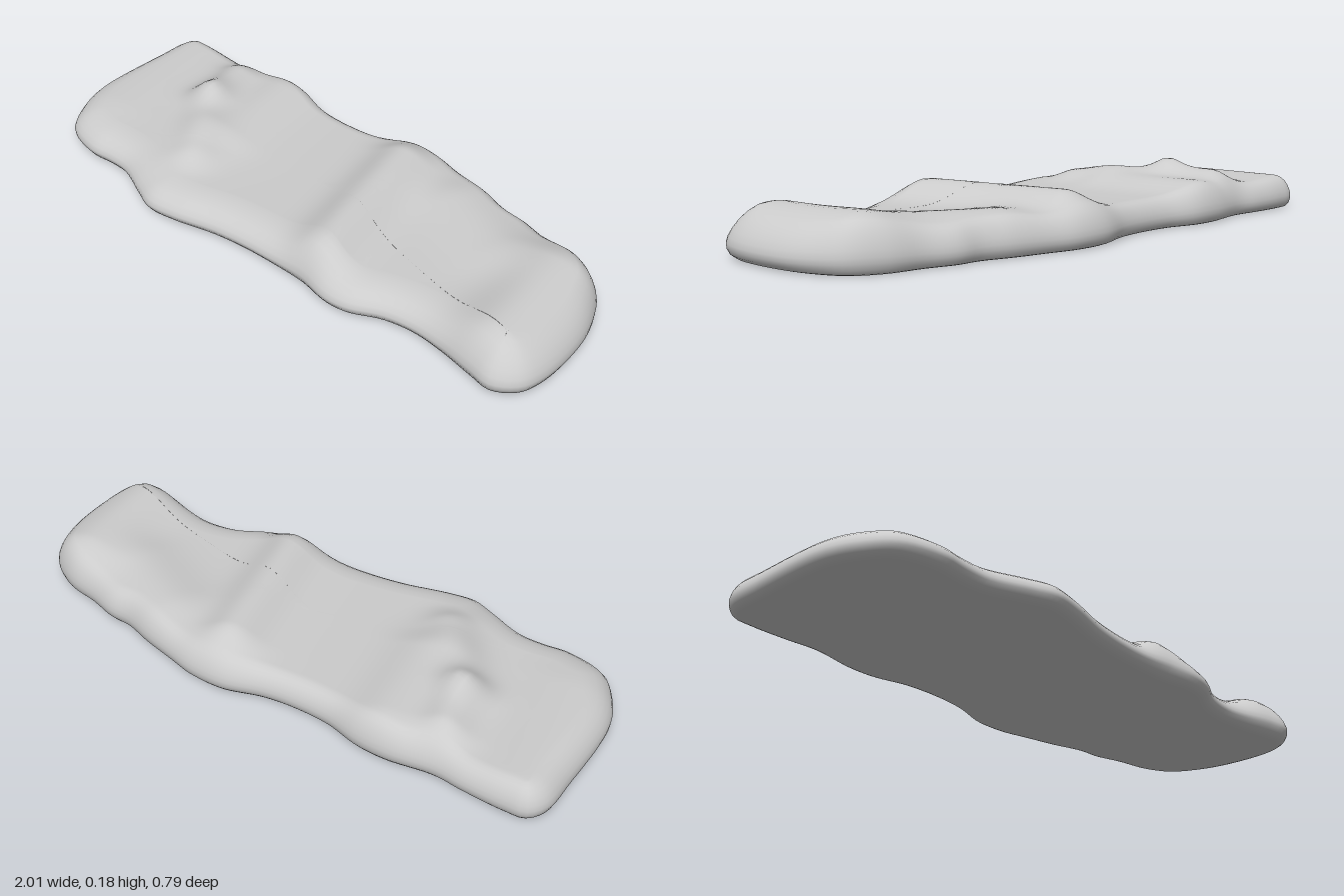
import * as THREE from 'three';
import { mergeVertices } from 'three/addons/utils/BufferGeometryUtils.js';

// Plan outline [x, z], along the back, round the left end, then back along the front
const OUTLINE = [
  [-0.99, -0.33], [-0.95, -0.38], [-0.88, -0.387], [-0.75, -0.38], [-0.65, -0.37], [-0.5, -0.39],
  [-0.4, -0.385], [-0.28, -0.352], [-0.15, -0.345], [-0.05, -0.355], [0.08, -0.392], [0.2, -0.39],
  [0.3, -0.365], [0.42, -0.335], [0.52, -0.302], [0.6, -0.295], [0.7, -0.265], [0.82, -0.24],
  [0.92, -0.18], [0.97, -0.09], [0.997, 0.02], [0.997, 0.2], [0.97, 0.28], [0.9, 0.33],
  [0.82, 0.32], [0.7, 0.295], [0.6, 0.285], [0.5, 0.3], [0.4, 0.345], [0.32, 0.355],
  [0.2, 0.335], [0, 0.33], [-0.15, 0.345], [-0.3, 0.38], [-0.4, 0.39], [-0.48, 0.36],
  [-0.6, 0.31], [-0.68, 0.305], [-0.77, 0.31], [-0.9, 0.27], [-0.96, 0.19], [-1, 0.08], [-1, -0.2],
];

// Soft ridges on the top: start x, z, end x, z, height, width
const RIDGES = [
  [-0.63, -0.26, -0.6, -0.12, 0.05, 0.075],
  [-0.6, -0.08, -0.42, 0.16, 0.035, 0.08],
  [-0.46, -0.3, -0.42, 0.0, 0.035, 0.11],
  [0.13, -0.25, 0.23, 0.25, 0.062, 0.1],
  [0.4, -0.22, 0.62, -0.1, 0.03, 0.13],
  [0.82, -0.12, 0.84, 0.22, 0.06, 0.13],
  [-0.92, -0.3, -0.85, 0.1, 0.012, 0.12],
];

// Rim section: inset from the outline, fraction of the top height
const RIM = [
  [0.055, 0], [0.035, 0], [0.022, 0.03], [0.008, 0.13], [0.001, 0.27], [0, 0.4], [0.005, 0.55],
  [0.015, 0.7], [0.03, 0.84], [0.048, 0.93], [0.068, 0.985], [0.085, 1],
];

function topHeight(x, z) {
  let h = 0.1;
  for (const [ax, az, bx, bz, height, width] of RIDGES) {
    const dx = bx - ax, dz = bz - az;
    const t = THREE.MathUtils.clamp(((x - ax) * dx + (z - az) * dz) / (dx * dx + dz * dz), 0, 1);
    const d = Math.hypot(x - ax - t * dx, z - az - t * dz) / width;
    h += height * Math.exp(-d * d);
  }
  return h;
}

function slabGeometry() {
  const curve = new THREE.CatmullRomCurve3(OUTLINE.map(([x, z]) => new THREE.Vector3(x, 0, z)), true);
  const count = 240, innerRings = 36;
  const points = curve.getSpacedPoints(count).slice(0, count);
  const normals = points.map((p, i) => {
    const a = points[(i + count - 2) % count], b = points[(i + 2) % count];
    return new THREE.Vector3(b.z - a.z, 0, a.x - b.x).normalize();
  });
  const inset = (i, d) => points[i].clone().addScaledVector(normals[i], -d * (1 + 0.35 * normals[i].z));

  const positions = [], index = [];
  const addRing = (place) => {
    for (let i = 0; i < count; i++) positions.push(...place(i).toArray());
  };

  // Flat underside, rounded rim, then the uneven top closing on the middle
  addRing(() => new THREE.Vector3());
  for (const [d, f] of RIM) {
    addRing((i) => {
      const p = inset(i, d);
      p.y = f * topHeight(p.x, p.z);
      return p;
    });
  }
  for (let r = 1; r <= innerRings; r++) {
    addRing((i) => {
      const p = inset(i, RIM[RIM.length - 1][0]).multiplyScalar(1 - r / innerRings);
      p.y = topHeight(p.x, p.z);
      return p;
    });
  }

  const rings = positions.length / 3 / count;
  for (let r = 0; r < rings - 1; r++) {
    for (let i = 0; i < count; i++) {
      const j = (i + 1) % count;
      const a = r * count + i, b = r * count + j, c = a + count, d = b + count;
      if (r > 0) index.push(a, c, b);
      if (r < rings - 2) index.push(b, c, d);
    }
  }

  let geometry = new THREE.BufferGeometry();
  geometry.setAttribute('position', new THREE.Float32BufferAttribute(positions, 3));
  geometry.setIndex(index);
  geometry = mergeVertices(geometry, 1e-5);
  geometry.computeVertexNormals();
  return geometry;
}

export function createModel() {
  const group = new THREE.Group();
  group.name = 'stoneSlab';
  const slab = new THREE.Mesh(slabGeometry(), new THREE.MeshStandardMaterial({ color: 0xcccccc }));
  slab.name = 'slab';
  group.add(slab);
  return group;
}
